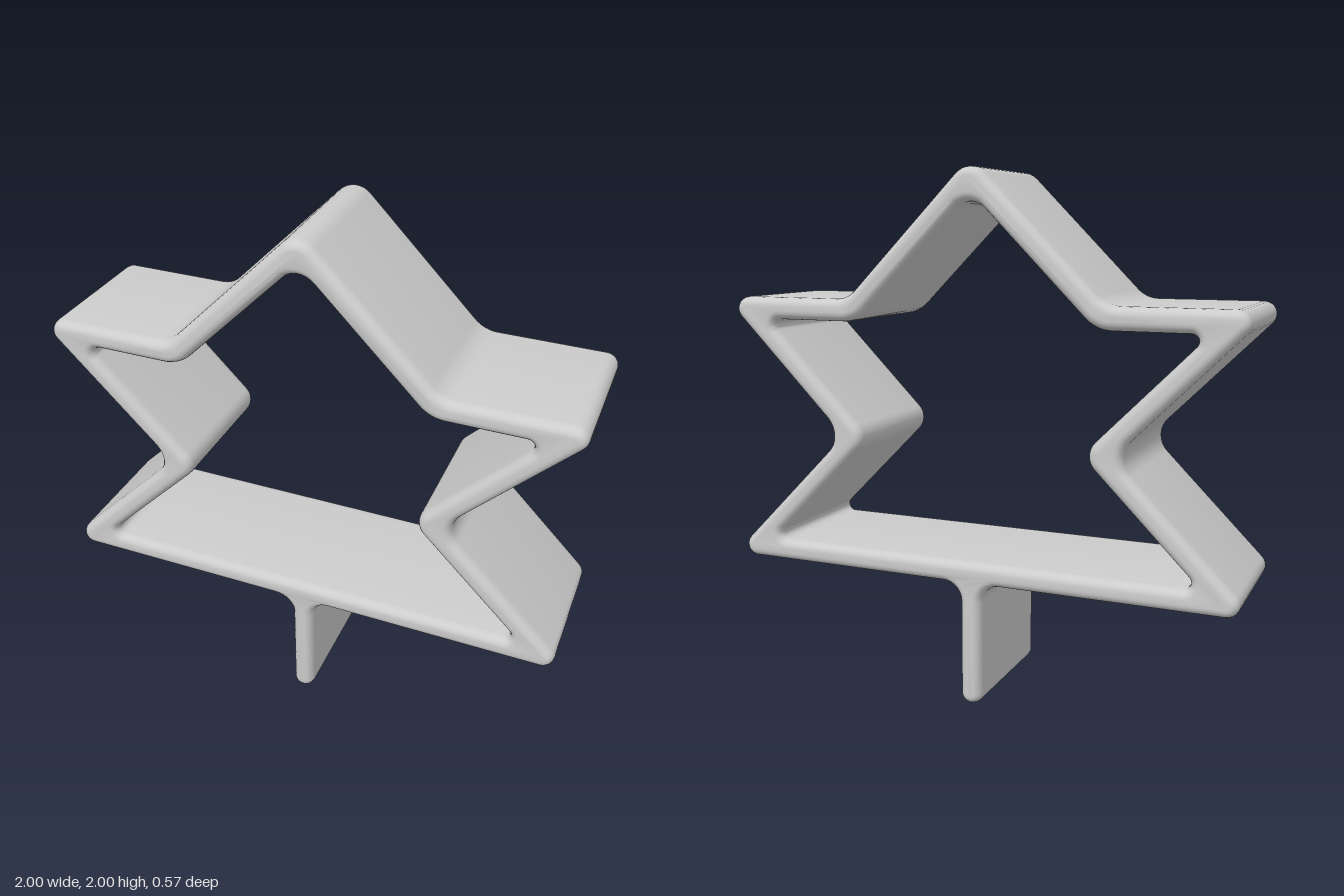
import * as THREE from 'three';
import { toCreasedNormals } from 'three/addons/utils/BufferGeometryUtils.js';

// Turns corners [x, y, radius] into a closed outline with rounded corners.
function roundedOutline(corners, steps = 8) {
  const out = [];
  const n = corners.length;
  corners.forEach(([x, y, r], i) => {
    const p = new THREE.Vector2(x, y);
    const [ax, ay] = corners[(i + n - 1) % n];
    const [bx, by] = corners[(i + 1) % n];
    const a = new THREE.Vector2(ax, ay).sub(p).normalize();
    const b = new THREE.Vector2(bx, by).sub(p).normalize();
    const half = Math.acos(a.dot(b)) / 2;
    const centre = a.clone().add(b).normalize().multiplyScalar(r / Math.sin(half)).add(p);
    const start = a.multiplyScalar(r / Math.tan(half)).add(p).sub(centre);
    const end = b.multiplyScalar(r / Math.tan(half)).add(p).sub(centre);
    const sweep = Math.atan2(start.cross(end), start.dot(end));
    for (let k = 0; k <= steps; k++) {
      out.push(start.clone().rotateAround(new THREE.Vector2(), (sweep * k) / steps).add(centre));
    }
  });
  return out;
}

// Completes a right-hand half (top to bottom) with its mirror image.
function mirrored(half) {
  const left = half.filter(([x]) => x > 0).reverse().map(([x, y, r]) => [-x, y, r]);
  return [...half, ...left];
}

export function createModel() {
  const group = new THREE.Group();
  group.name = 'treeFrame';

  const grey = new THREE.MeshStandardMaterial({ color: 0xcccccc });
  grey.name = 'light grey';

  // Outside of the band, running down into the stem
  const outer = mirrored([
    [0, 2.034, 0.08],
    [0.509, 1.525, 0.12],
    [1.067, 1.525, 0.047],
    [0.542, 1, 0.09],
    [1.067, 0.475, 0.047],
    [0.042, 0.475, 0.07],
    [0.042, 0, 0.041],
  ]);

  // Inside of the band
  const inner = mirrored([
    [0, 1.912, 0.08],
    [0.472, 1.44, 0.14],
    [0.865, 1.44, 0.025],
    [0.425, 1, 0.07],
    [0.865, 0.56, 0.025],
  ]);

  // The hole winds the opposite way to the outside
  const shape = new THREE.Shape(roundedOutline(outer));
  shape.holes.push(new THREE.Path(roundedOutline(inner).reverse()));

  // Deep band with softly rounded front and back rims
  const halfDepth = 0.285;
  const rim = 0.04;
  const geometry = new THREE.ExtrudeGeometry(shape, {
    depth: 2 * (halfDepth - rim),
    bevelEnabled: true,
    bevelThickness: rim,
    bevelSize: 0.032,
    bevelOffset: -0.032,
    bevelSegments: 5,
  });
  geometry.translate(0, 0, rim - halfDepth);

  const band = new THREE.Mesh(toCreasedNormals(geometry, 0.8), grey);
  band.name = 'starBandWithStem';
  group.add(band);
  return group;
}
